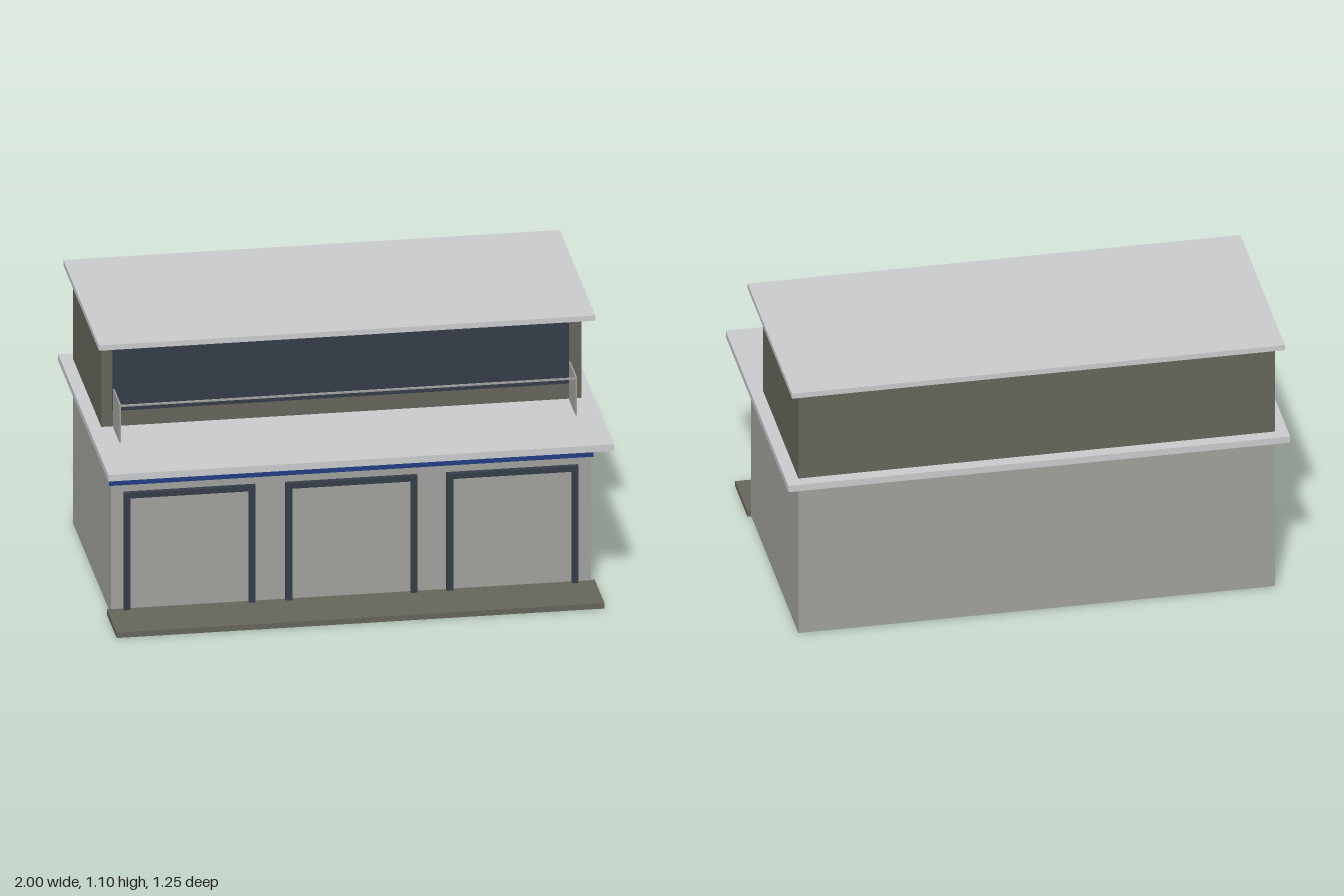
import * as THREE from 'three';

const mat = (name, color) => {
  const m = new THREE.MeshStandardMaterial({ color });
  m.name = name;
  return m;
};

export function createModel() {
  const wall = mat('concrete grey', 0x9f9f9b);
  const roof = mat('pale roof grey', 0xc8c9cb);
  const olive = mat('dark olive', 0x64645a);
  const navy = mat('sign blue', 0x213c82);
  const slate = mat('dark slate', 0x353c48);

  const model = new THREE.Group();
  model.name = 'shopBuilding';

  // Box given by its extents on each axis
  const box = (parent, name, material, [x0, x1], [y0, y1], [z0, z1]) => {
    const mesh = new THREE.Mesh(new THREE.BoxGeometry(x1 - x0, y1 - y0, z1 - z0), material);
    mesh.position.set((x0 + x1) / 2, (y0 + y1) / 2, (z0 + z1) / 2);
    mesh.name = name;
    parent.add(mesh);
    return mesh;
  };

  // Storeys and slabs
  box(model, 'groundFloor', wall, [-0.95, 0.95], [0.005, 0.672], [-0.575, 0.372]);
  box(model, 'canopySlab', roof, [-1, 1], [0.672, 0.7], [-0.625, 0.625]);
  box(model, 'upperFloor', olive, [-0.95, 0.95], [0.7, 1.082], [-0.575, 0.135]);
  box(model, 'roofSlab', roof, [-0.982, 0.982], [1.082, 1.104], [-0.61, 0.277]);
  box(model, 'pavement', olive, [-0.965, 0.965], [0.003, 0.026], [0.368, 0.612]);

  // Front details
  box(model, 'windowBand', slate, [-0.905, 0.9], [0.767, 1.035], [0.134, 0.143]);
  box(model, 'signBand', navy, [-0.957, 0.957], [0.553, 0.638], [0.368, 0.386]);

  // Shop doorways: two jambs and a lintel each
  for (const cx of [-0.64, 0, 0.637]) {
    const door = new THREE.Group();
    door.name = 'doorway';
    door.position.x = cx;
    for (const s of [-1, 1]) {
      const jamb = box(door, 'jamb', slate, [-0.0125, 0.0125], [0.026, 0.5], [0.37, 0.392]);
      jamb.position.x = s * 0.2475;
    }
    box(door, 'lintel', slate, [-0.26, 0.26], [0.498, 0.52], [0.37, 0.394]);
    model.add(door);
  }

  // Balcony: end screens joined by a thin rail
  const balcony = new THREE.Group();
  balcony.name = 'balcony';
  for (const s of [-1, 1]) {
    const screen = box(balcony, 'endScreen', wall, [-0.003, 0.003], [0.7, 0.86], [0.143, 0.31]);
    screen.position.x = s * 0.902;
  }
  box(balcony, 'rail', wall, [-0.902, 0.902], [0.852, 0.859], [0.303, 0.31]);
  model.add(balcony);

  return model;
}
